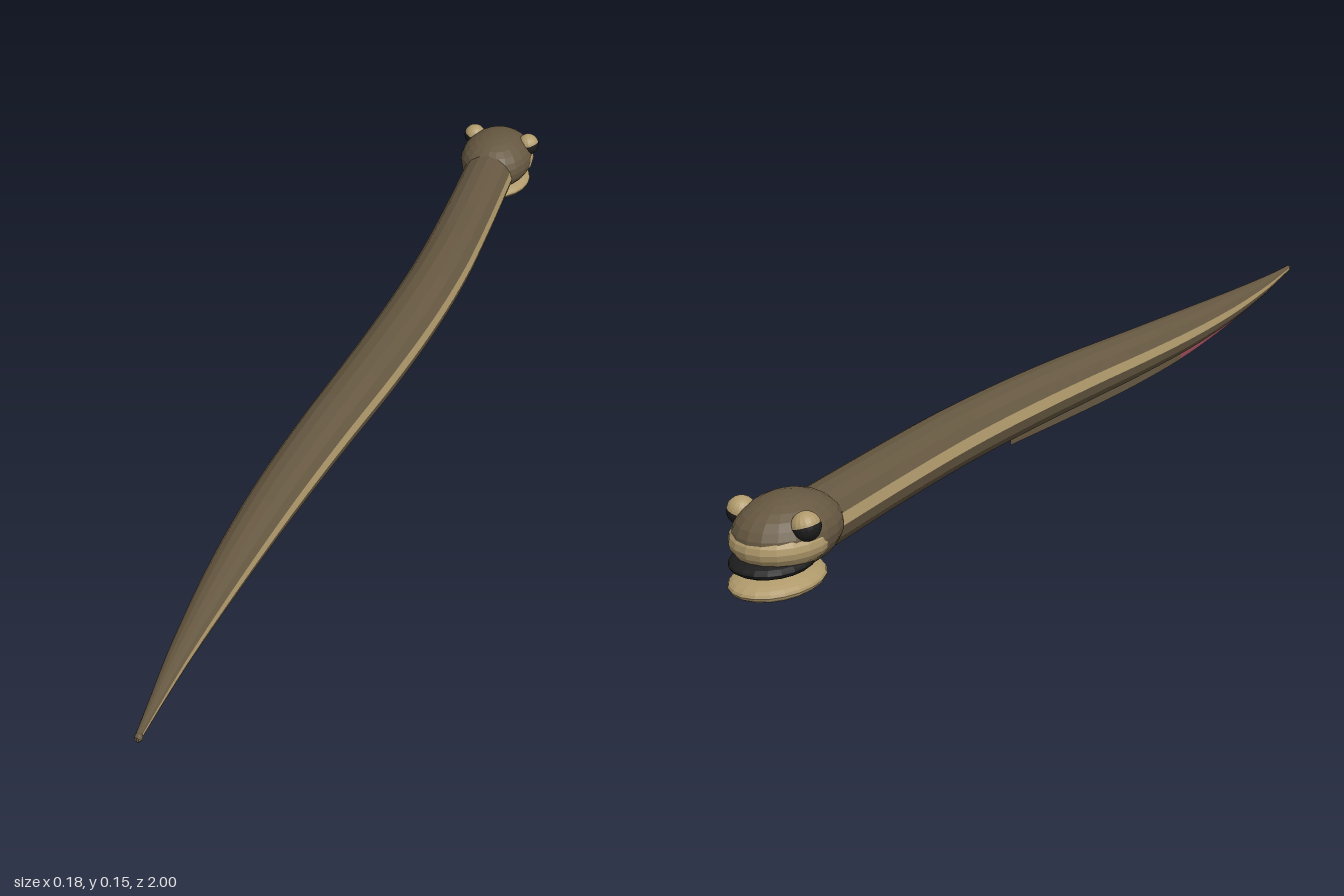
import * as THREE from 'three';

const mat = (name, color, extra = {}) => {
  const m = new THREE.MeshStandardMaterial({ color, ...extra });
  m.name = name;
  return m;
};

// Stations along the body: z, centre x, half width, half height, fin bottom y
const STATIONS = [
  [-0.83, 0.0, 0.056, 0.051, 0.02],
  [-0.6, 0.016, 0.057, 0.051, 0.02],
  [-0.4, 0.025, 0.058, 0.052, 0.018],
  [-0.2, 0.022, 0.058, 0.052, 0.012],
  [0.0, 0.01, 0.056, 0.051, 0.009],
  [0.2, -0.007, 0.052, 0.047, 0.012],
  [0.4, -0.019, 0.046, 0.041, 0.021],
  [0.6, -0.022, 0.036, 0.031, 0.038],
  [0.8, -0.016, 0.021, 0.019, 0.059],
  [0.92, -0.007, 0.011, 0.011, 0.074],
  [1.0, 0.0, 0.005, 0.007, 0.08],
];
const MID_Y = 0.085;

// Smoothly interpolated station at depth z
function station(z) {
  let i = 0;
  while (i < STATIONS.length - 2 && STATIONS[i + 1][0] < z) i++;
  const at = (k) => STATIONS[Math.min(Math.max(k, 0), STATIONS.length - 1)];
  const a = at(i), b = at(i + 1), p = at(i - 1), n = at(i + 2);
  const h = b[0] - a[0], t = (z - a[0]) / h;
  return a.map((v, c) => {
    const m0 = ((b[c] - p[c]) / (b[0] - p[0])) * h;
    const m1 = ((n[c] - a[c]) / (n[0] - a[0])) * h;
    const t2 = t * t, t3 = t2 * t;
    return (2 * t3 - 3 * t2 + 1) * v + (t3 - 2 * t2 + t) * m0 + (3 * t2 - 2 * t3) * b[c] + (t3 - t2) * m1;
  });
}

function geometryFrom(positions) {
  const g = new THREE.BufferGeometry();
  g.setAttribute('position', new THREE.Float32BufferAttribute(positions, 3));
  g.computeVertexNormals();
  return g;
}

// Strips of the tapered tube whose side index passes the test
function bodyStrips(test) {
  const SIDES = 16, RINGS = 40, out = [];
  const point = (i, j) => {
    const z = -0.83 + (1.83 * i) / RINGS;
    const [, x, rx, ry] = station(z);
    const a = (j / SIDES) * Math.PI * 2;
    return [x + rx * Math.cos(a), MID_Y + ry * Math.sin(a), z];
  };
  for (let j = 0; j < SIDES; j++) {
    if (!test(j)) continue;
    for (let i = 0; i < RINGS; i++) {
      const a = point(i, j), b = point(i, j + 1), c = point(i + 1, j + 1), d = point(i + 1, j);
      out.push(...a, ...b, ...d, ...b, ...c, ...d);
    }
  }
  return geometryFrom(out);
}

// Thin keel hanging below the body between two depths
function finSheet(z0, z1, steps) {
  const out = [];
  const edge = (i) => {
    const z = z0 + ((z1 - z0) * i) / steps;
    const [, x, , , low] = station(z);
    return [[x, MID_Y, z], [x, low, z]];
  };
  for (let i = 0; i < steps; i++) {
    const [a, b] = edge(i), [c, d] = edge(i + 1);
    out.push(...a, ...b, ...c, ...b, ...d, ...c);
  }
  return geometryFrom(out);
}

export function createModel() {
  const group = new THREE.Group();
  const skin = mat('brown skin', 0x665841, { flatShading: true });
  const pale = mat('pale tan', 0xb09a6c, { flatShading: true });
  const dark = mat('near black', 0x1d1d1d, { flatShading: true });
  const finSkin = mat('brown fin', 0x665841, { side: THREE.DoubleSide });
  const pink = mat('dull pink', 0x964a55, { side: THREE.DoubleSide });

  const add = (name, geometry, material, parent = group) => {
    const mesh = new THREE.Mesh(geometry, material);
    mesh.name = name;
    parent.add(mesh);
    return mesh;
  };
  const ellipsoid = (name, material, position, radii) => {
    const mesh = add(name, new THREE.SphereGeometry(1, 20, 14), material);
    mesh.position.set(...position);
    mesh.scale.set(...radii);
  };

  // Body with a pale line along each flank
  const isLine = (j) => j === 0 || j === 7;
  add('body', bodyStrips((j) => !isLine(j)), skin);
  add('flankLines', bodyStrips(isLine), pale);
  const tip = add('tailTip', new THREE.SphereGeometry(1, 12, 8), skin);
  tip.position.set(0, MID_Y, 0.992);
  tip.scale.set(0.007, 0.008, 0.008);

  // Underside fin
  add('frontFin', finSheet(-0.2, 0.41, 14), finSkin);
  add('rearFin', finSheet(0.41, 0.99, 14), pink);

  // Head
  ellipsoid('head', skin, [0, 0.095, -0.88], [0.08, 0.06, 0.1]);
  ellipsoid('muzzle', pale, [0, 0.089, -0.894], [0.081, 0.045, 0.089]);
  ellipsoid('mouth', dark, [0, 0.058, -0.92], [0.066, 0.018, 0.073]);
  ellipsoid('lowerJaw', pale, [0, 0.023, -0.91], [0.07, 0.021, 0.088]);

  // Eyes: pale lid above, dark ball below
  const split = Math.PI * 0.47;
  for (const side of [1, -1]) {
    const eye = new THREE.Group();
    eye.name = side > 0 ? 'leftEye' : 'rightEye';
    add('eyelid', new THREE.SphereGeometry(0.024, 16, 8, 0, Math.PI * 2, 0, split), pale, eye);
    add('eyeball', new THREE.SphereGeometry(0.024, 16, 8, 0, Math.PI * 2, split, Math.PI - split), dark, eye);
    eye.position.set(side * 0.064, 0.124, -0.913);
    eye.rotation.z = side * 0.28;
    group.add(eye);
  }
  return group;
}
